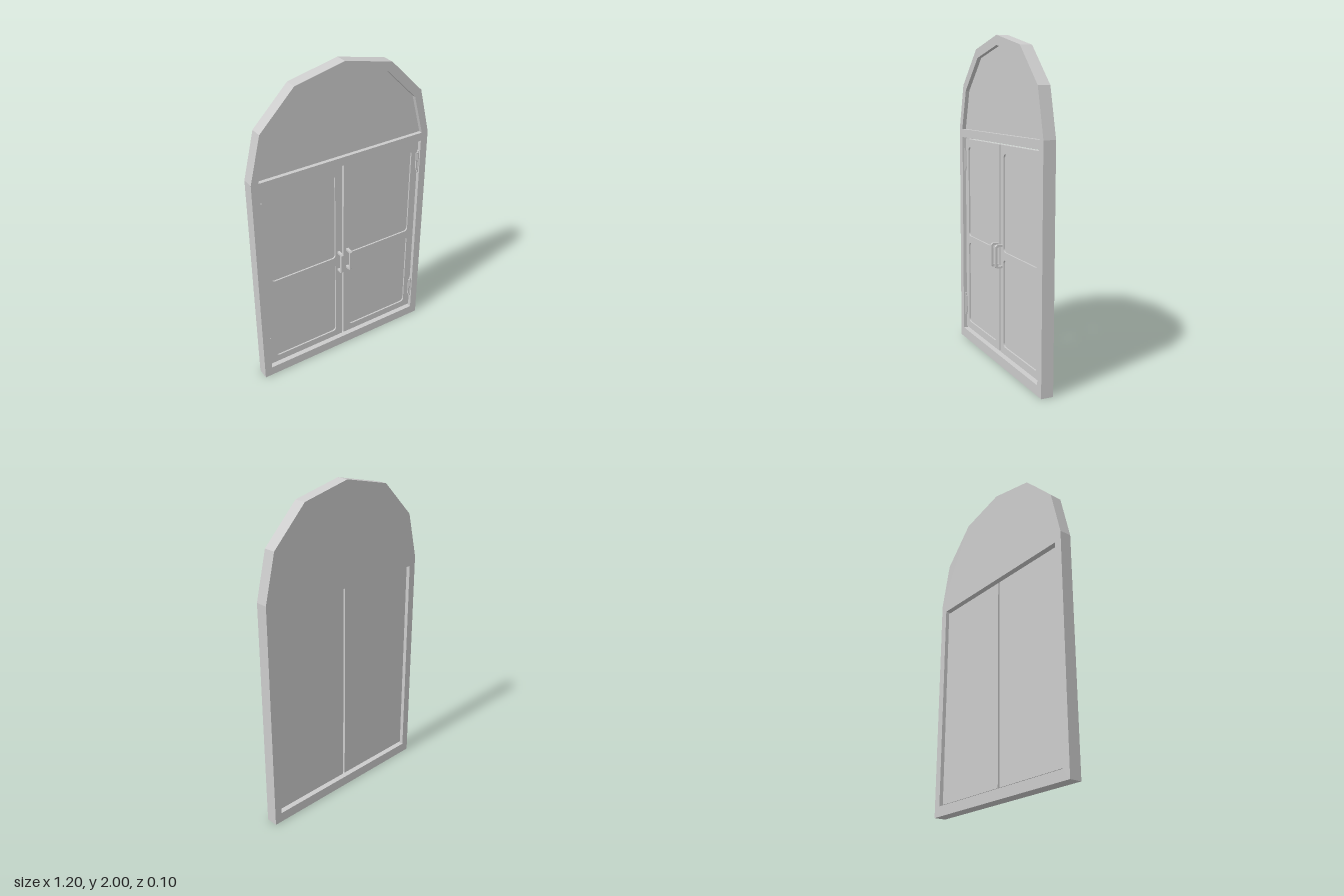
import * as THREE from 'three';

const material = new THREE.MeshStandardMaterial({ color: 0xcccccc, flatShading: true });

function mesh(name, geometry, parent) {
  const m = new THREE.Mesh(geometry, material);
  m.name = name;
  parent.add(m);
  return m;
}

// Extrude a flat shape between two depths
function slab(name, shape, z0, z1, parent) {
  const g = new THREE.ExtrudeGeometry(shape, { depth: z1 - z0, bevelEnabled: false, curveSegments: 4 });
  g.translate(0, 0, z0);
  return mesh(name, g, parent);
}

// Box given by its limits
function block(name, x0, x1, y0, y1, z0, z1, parent) {
  const g = new THREE.BoxGeometry(x1 - x0, y1 - y0, z1 - z0);
  g.translate((x0 + x1) / 2, (y0 + y1) / 2, (z0 + z1) / 2);
  return mesh(name, g, parent);
}

// Mirror a right-half outline (bottom to apex) into a closed list of points
function mirrored(half) {
  const left = half.filter(([x]) => x > 0).reverse().map(([x, y]) => [-x, y]);
  return [...half, ...left].map(([x, y]) => new THREE.Vector2(x, y));
}

function rect(Type, x0, x1, y0, y1) {
  return new Type([[x0, y0], [x1, y0], [x1, y1], [x0, y1]].map(([x, y]) => new THREE.Vector2(x, y)));
}

function roundedRect(x0, x1, y0, y1, r) {
  const p = new THREE.Path();
  p.absarc(x1 - r, y0 + r, r, -Math.PI / 2, 0);
  p.absarc(x1 - r, y1 - r, r, 0, Math.PI / 2);
  p.absarc(x0 + r, y1 - r, r, Math.PI / 2, Math.PI);
  p.absarc(x0 + r, y0 + r, r, Math.PI, Math.PI * 1.5);
  p.closePath();
  return p;
}

const BACK = -0.05, FRONT = 0.025;
const DOOR_BACK = -0.027, DOOR_FRONT = 0.003, PANEL_FRONT = -0.007;

function createFrame(parent) {
  const outer = mirrored([[0.6, 0], [0.6, 1.425], [0.53, 1.71], [0.312, 1.93], [0, 2]]);
  const recess = mirrored([[0.555, 1.425], [0.488, 1.675], [0.288, 1.877], [0, 1.942]]);
  const opening = () => rect(THREE.Path, -0.552, 0.552, 0.062, 1.372);

  // Back layer closes the arch, front layer leaves it recessed
  const backShape = new THREE.Shape(outer);
  backShape.holes.push(opening());
  slab('frameBack', backShape, BACK, 0, parent);

  const frontShape = new THREE.Shape(outer);
  frontShape.holes.push(opening(), new THREE.Path(recess));
  slab('frameFront', frontShape, 0, FRONT, parent);
}

// Bent pull handle, drawn in profile and extruded sideways
function createHandle(s, parent) {
  const z0 = DOOR_FRONT, z1 = 0.049, t = 0.013, c = 0.01, y0 = 0.613, y1 = 0.758;
  const profile = [
    [z0, y0], [z1 - c, y0], [z1, y0 + c], [z1, y1 - c], [z1 - c, y1], [z0, y1],
    [z0, y1 - t], [z1 - t - 0.004, y1 - t], [z1 - t, y1 - t - 0.004],
    [z1 - t, y0 + t + 0.004], [z1 - t - 0.004, y0 + t], [z0, y0 + t],
  ].map(([z, y]) => new THREE.Vector2(z, y));
  const g = new THREE.ExtrudeGeometry(new THREE.Shape(profile), { depth: 0.017, bevelEnabled: false });
  g.rotateY(-Math.PI / 2); // profile x becomes z, depth runs to -x
  g.translate(s * 0.032 + 0.0085, 0, 0);
  mesh('handle', g, parent);
}

function createDoor(s, parent) {
  const door = new THREE.Group();
  door.name = s > 0 ? 'leftDoor' : 'rightDoor';
  parent.add(door);
  const span = (a, b) => (s > 0 ? [a, b] : [-b, -a]);

  // Leaf: solid back with a front layer cut by two rounded panels
  const [x0, x1] = span(0.007, 0.55);
  slab('doorBack', rect(THREE.Shape, x0, x1, 0.073, 1.361), DOOR_BACK, PANEL_FRONT, door);
  const front = rect(THREE.Shape, x0, x1, 0.073, 1.361);
  const [p0, p1] = span(0.053, 0.502);
  for (const [y0, y1] of [[0.12, 0.667], [0.715, 1.308]]) front.holes.push(roundedRect(p0, p1, y0, y1, 0.022));
  slab('doorFront', front, PANEL_FRONT, DOOR_FRONT, door);

  // Hinges: a long strip on the frame side and a shorter leaf on the door
  for (const y of [0.232, 1.224]) {
    const [k0, k1] = span(0.545, 0.556);
    block('hingeKnuckle', k0, k1, y - 0.075, y + 0.075, DOOR_FRONT - 0.004, 0.016, door);
    const [l0, l1] = span(0.536, 0.547);
    block('hingeLeaf', l0, l1, y - 0.06, y + 0.06, DOOR_FRONT - 0.004, 0.012, door);
  }

  createHandle(s, door);
}

export function createModel() {
  const model = new THREE.Group();
  model.name = 'archedDoubleDoor';
  createFrame(model);
  for (const s of [-1, 1]) createDoor(s, model);
  return model;
}
